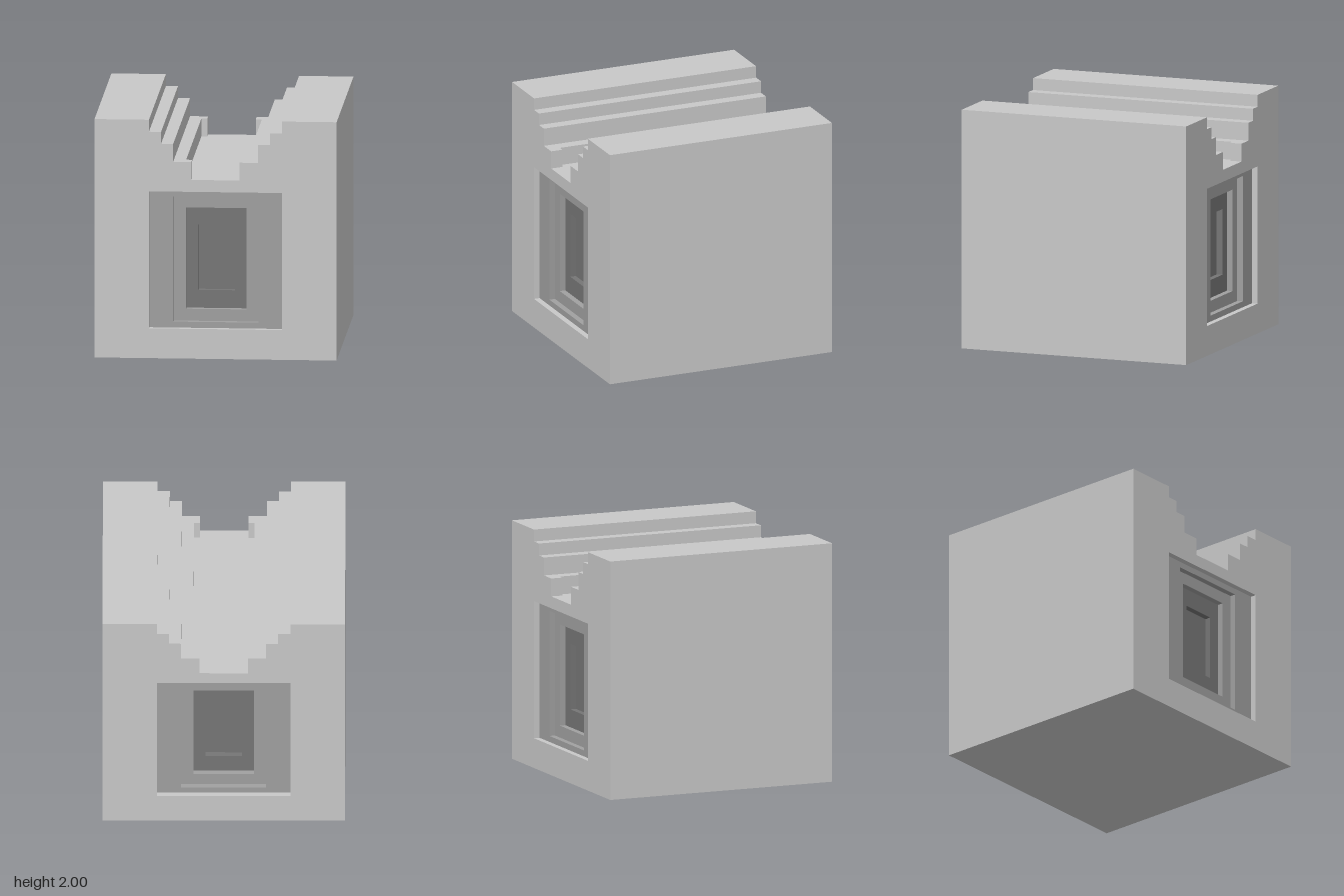
import * as THREE from 'three';

const stone = new THREE.MeshStandardMaterial({ color: 0xc8c8c8 });
const panelGrey = new THREE.MeshStandardMaterial({ color: 0xa0a0a0 });
const coreGrey = new THREE.MeshStandardMaterial({ color: 0x767676 });
stone.name = 'light stone';
panelGrey.name = 'mid grey panel';
coreGrey.name = 'dark grey core';

function part(name, geometry, material) {
  const mesh = new THREE.Mesh(geometry, material);
  mesh.name = name;
  return mesh;
}

// Flat strip along z through a list of [x, y] points; faces look to the left of the path
function sweep(points, z0, z1) {
  const pos = [];
  for (let i = 0; i + 1 < points.length; i++) {
    const [p, q] = [points[i], points[i + 1]];
    pos.push(...p, z1, ...q, z1, ...q, z0, ...p, z1, ...q, z0, ...p, z0);
  }
  const g = new THREE.BufferGeometry();
  g.setAttribute('position', new THREE.Float32BufferAttribute(pos, 3));
  g.computeVertexNormals();
  return g;
}

// Flat face at depth z, with an optional hole
function face(points, z, hole) {
  const toVec = (list) => list.map(([x, y]) => new THREE.Vector2(x, y));
  const shape = new THREE.Shape(toVec(points));
  if (hole) shape.holes.push(new THREE.Path(toVec(hole)));
  return new THREE.ShapeGeometry(shape).translate(0, 0, z);
}

const mirror = (points) => points.map(([x, y]) => [-x, y]).reverse();
const rect = (w, y0, y1) => [[-w, y1], [-w, y0], [w, y0], [w, y1]];

// Stepped slope from the left top edge down to the channel rim
const steps = [[-1, 0], [-1, 2], [-0.55, 2], [-0.55, 1.9], [-0.45, 1.9], [-0.45, 1.8],
  [-0.35, 1.8], [-0.35, 1.65], [-0.25, 1.65]];
const lip = [[-0.25, 1.65], [-0.2, 1.65], [-0.2, 1.5], [0.2, 1.5], [0.2, 1.65], [0.25, 1.65]];
const channel = [[-0.25, 1.65], [-0.25, 1.5], [0.25, 1.5], [0.25, 1.65]];

// Nested recesses: outline, wall colour, floor colour
const STEP = 0.05;
const recesses = [
  { name: 'outerRecess', outline: rect(0.55, 0.25, 1.4), wall: stone, floor: panelGrey },
  { name: 'secondRecess', outline: rect(0.35, 0.3, 1.35), wall: panelGrey, floor: panelGrey },
  { name: 'thirdRecess', outline: rect(0.25, 0.4, 1.25), wall: panelGrey, floor: coreGrey },
  { name: 'innerRecess', outline: rect(0.15, 0.55, 1.1), wall: coreGrey, floor: coreGrey },
];

function createEnd(name) {
  const end = new THREE.Group();
  end.name = name;
  const outline = [...steps, ...lip.slice(1, -1), ...mirror(steps)];
  end.add(part('endFace', face(outline, 1, recesses[0].outline), stone));
  // Narrowed channel mouth
  end.add(part('channelMouth', sweep(lip, 0.9, 1), stone));
  for (const s of [-1, 1]) {
    const back = new THREE.PlaneGeometry(0.05, 0.15).rotateY(Math.PI);
    back.translate(s * 0.225, 1.575, 0.9);
    end.add(part('lipBack', back, stone));
  }
  // Each recess sinks one step deeper than the one around it
  recesses.forEach((r, i) => {
    const z = 1 - i * STEP;
    const loop = [...r.outline, r.outline[0]];
    end.add(part(r.name + 'Walls', sweep(loop, z - STEP, z), r.wall));
    end.add(part(r.name + 'Floor', face(r.outline, z - STEP, recesses[i + 1]?.outline), r.floor));
  });
  return end;
}

export function createModel() {
  const model = new THREE.Group();
  model.name = 'steppedBlock';
  // Sides, stepped slopes and underside run the full length
  model.add(part('leftSteps', sweep(mirror(steps), -1, 1), stone));
  model.add(part('rightSteps', sweep(steps, -1, 1), stone));
  model.add(part('underside', sweep([[1, 0], [-1, 0]], -1, 1), stone));
  model.add(part('channel', sweep(channel, -0.9, 0.9), stone));
  // Matching front and back
  const back = createEnd('backEnd');
  back.rotation.y = Math.PI;
  model.add(createEnd('frontEnd'), back);
  return model;
}
